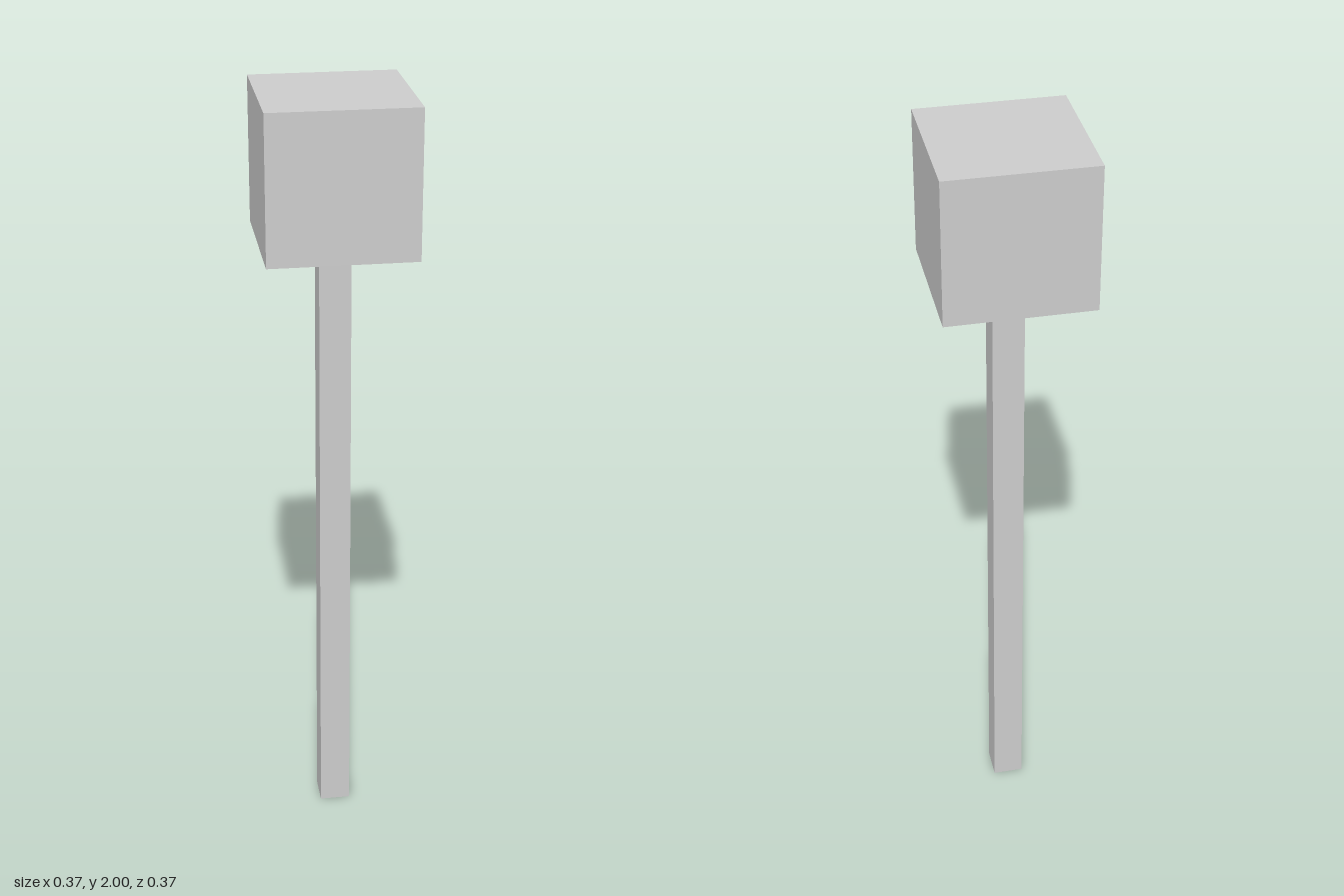
import * as THREE from 'three';

const HEIGHT = 2;
const HEAD = 0.37; // edge of the cube
const POST = 0.08; // thickness of the square post

export function createModel() {
  const group = new THREE.Group();
  const material = new THREE.MeshStandardMaterial({ color: 0xcccccc, flatShading: true });

  function addBox(name, width, bottom, top) {
    const mesh = new THREE.Mesh(new THREE.BoxGeometry(width, top - bottom, width), material);
    mesh.name = name;
    mesh.position.y = (bottom + top) / 2;
    group.add(mesh);
  }

  // Square post standing on the ground
  addBox('post', POST, 0, HEIGHT - HEAD);
  // Cube on top of the post
  addBox('head', HEAD, HEIGHT - HEAD, HEIGHT);

  return group;
}
